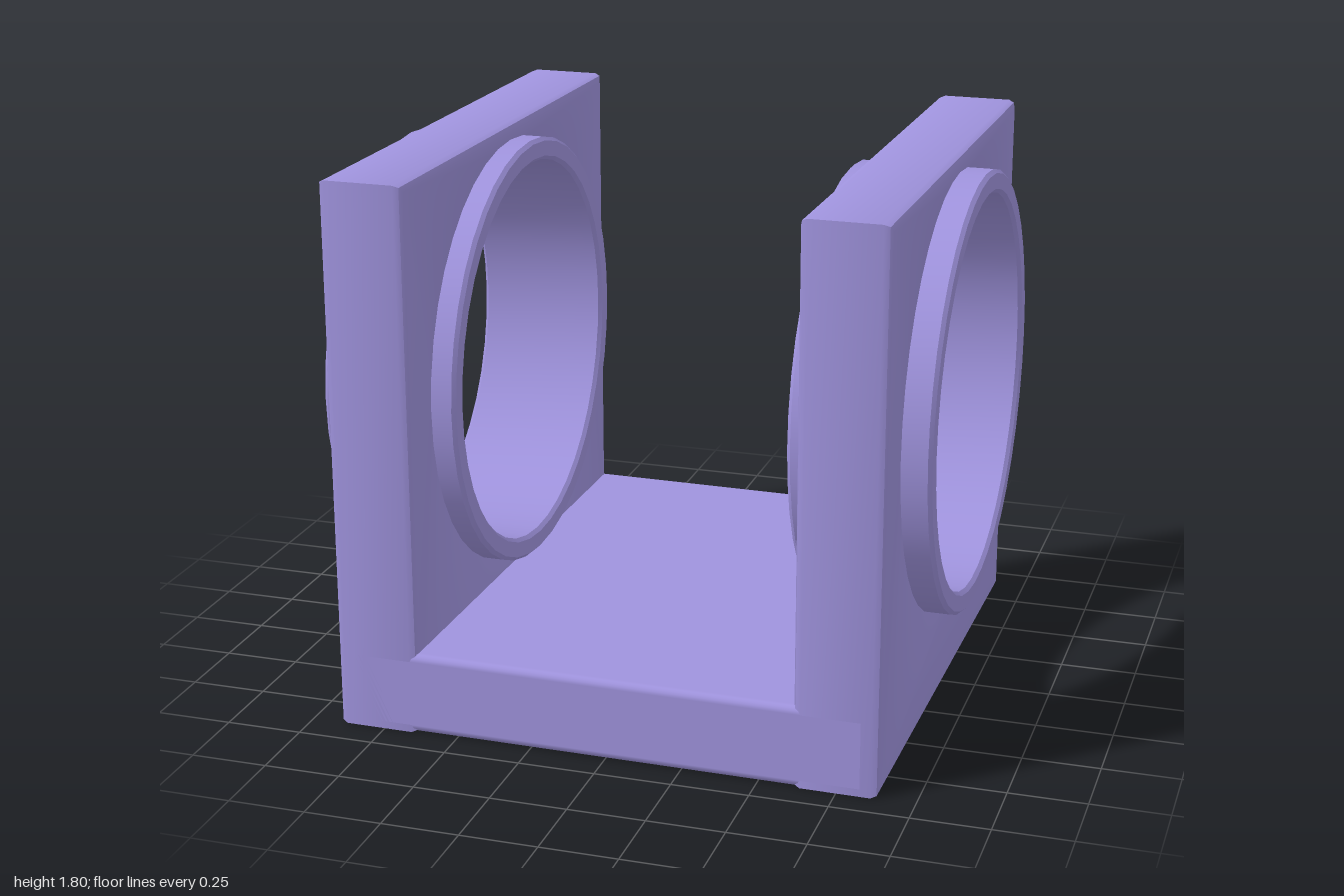
import * as THREE from 'three';
import { toCreasedNormals } from 'three/addons/utils/BufferGeometryUtils.js';
import { RoundedBoxGeometry } from 'three/addons/geometries/RoundedBoxGeometry.js';

const HALF = 0.9, HEIGHT = 1.8, WALL = 0.275, BEVEL = 0.025;
const HOLE_Y = 1.03, OUTER = 0.72, INNER = 0.645;

export function createModel() {
  const model = new THREE.Group();
  model.name = 'bearingBracket';
  const material = new THREE.MeshStandardMaterial({ color: 0x9f93dd });
  const add = (name, geometry, x, y, z) => {
    const mesh = new THREE.Mesh(geometry, material);
    mesh.name = name;
    mesh.position.set(x, y, z);
    model.add(mesh);
  };

  // Floor plate, running into both walls
  add('base', new RoundedBoxGeometry(1.72, 0.27, 2 * HALF, 2, BEVEL), 0, 0.135, 0);

  // Square bevelled wall with a round opening, extruded along x
  const outline = new THREE.Shape([
    new THREE.Vector2(-HALF, 0), new THREE.Vector2(HALF, 0),
    new THREE.Vector2(HALF, HEIGHT), new THREE.Vector2(-HALF, HEIGHT),
  ]);
  outline.holes.push(new THREE.Path().absarc(0, HOLE_Y, 0.68, 0, Math.PI * 2, true));
  const wall = toCreasedNormals(new THREE.ExtrudeGeometry(outline, {
    depth: WALL - 2 * BEVEL, curveSegments: 32, bevelEnabled: true, bevelSegments: 2,
    bevelSize: BEVEL, bevelOffset: -BEVEL, bevelThickness: BEVEL,
  }).translate(0, 0, BEVEL - WALL / 2).rotateY(Math.PI / 2), 0.6);

  // Sleeve lining the opening, with softened rims
  const h = 0.225, c = 0.012;
  const profile = [
    [INNER + c, -h], [OUTER - c, -h], [OUTER, c - h], [OUTER, h - c],
    [OUTER - c, h], [INNER + c, h], [INNER, h - c], [INNER, c - h], [INNER + c, -h],
  ].map(([r, y]) => new THREE.Vector2(r, y));
  const sleeve = toCreasedNormals(
    new THREE.LatheGeometry(profile, 40).rotateZ(Math.PI / 2), 0.6);

  for (const [side, s] of [['left', 1], ['right', -1]]) {
    add(side + 'Wall', wall, s * (0.895 - WALL / 2), 0, 0);
    add(side + 'Sleeve', sleeve, s * 0.765, HOLE_Y, 0);
  }

  // The whole bracket sits very slightly turned
  model.rotation.y = -0.012;
  return model;
}
